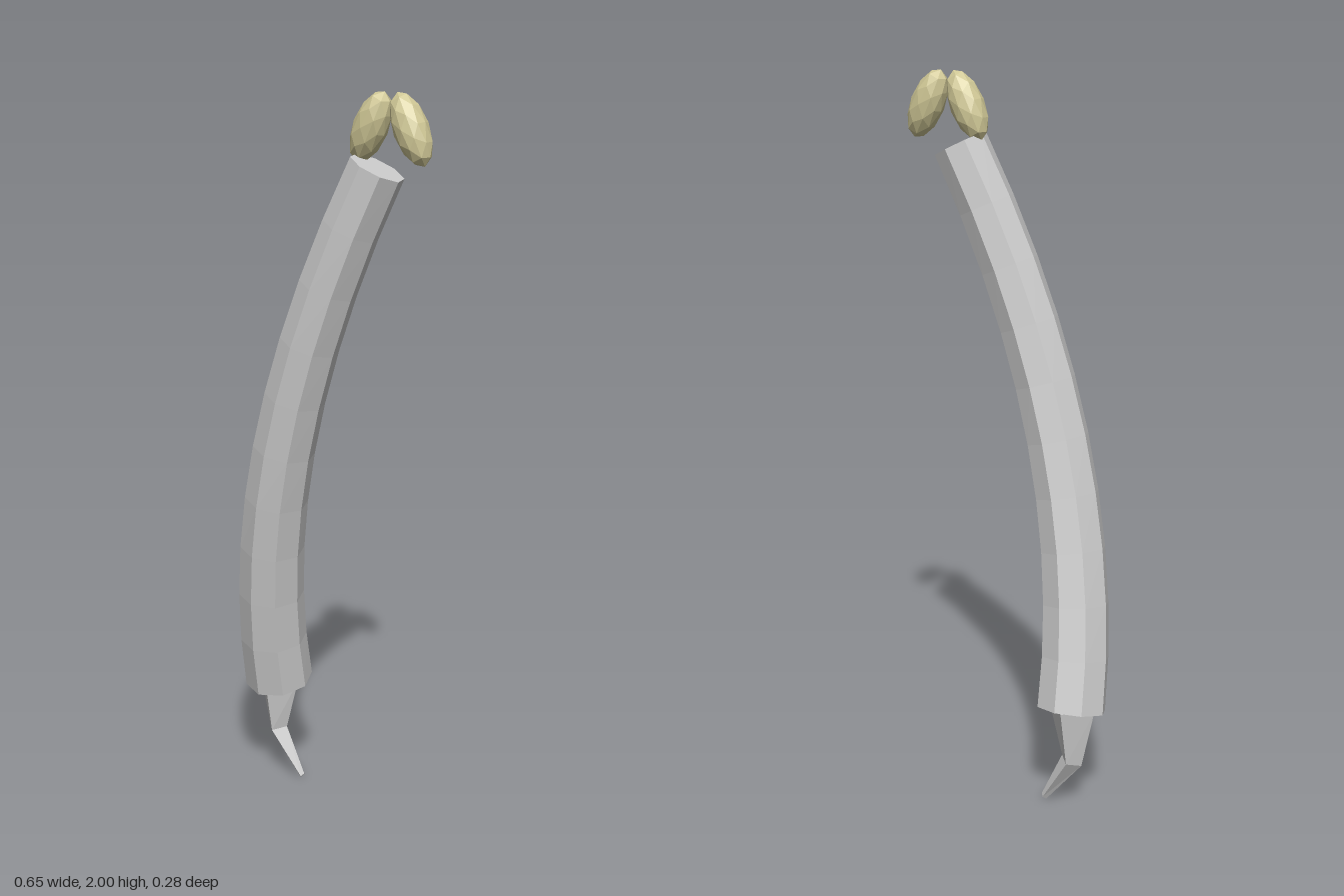
import * as THREE from 'three';

const V3 = (x, y, z) => new THREE.Vector3(x, y, z);

// Closed loft through polygon rings, listed from bottom to top.
// Each ring: centre c, axis direction t, radii rx and rz.
function loft(rings, sides) {
  const pos = [], idx = [];
  for (const { c, t, rx, rz } of rings) {
    const axis = t.clone().normalize();
    const u = V3(1, 0, 0).addScaledVector(axis, -axis.x).normalize();
    const v = u.clone().cross(axis);
    for (let j = 0; j < sides; j++) {
      const a = (j / sides) * Math.PI * 2;
      const p = c.clone().addScaledVector(u, rx * Math.cos(a)).addScaledVector(v, rz * Math.sin(a));
      pos.push(p.x, p.y, p.z);
    }
  }
  const last = (rings.length - 1) * sides;
  for (let j = 0; j < sides; j++) {
    const k = (j + 1) % sides;
    for (let i = 0; i < last; i += sides) {
      const a = i + j, b = i + k, c = a + sides, d = b + sides;
      idx.push(a, c, b, b, c, d);
    }
    // End caps
    if (j > 0 && k > 0) idx.push(0, j, k, last, last + k, last + j);
  }
  const geo = new THREE.BufferGeometry();
  geo.setAttribute('position', new THREE.Float32BufferAttribute(pos, 3));
  geo.setIndex(idx);
  const flat = geo.toNonIndexed();
  flat.computeVertexNormals();
  return flat;
}

export function createModel() {
  const group = new THREE.Group();
  const grey = new THREE.MeshStandardMaterial({ color: 0xcccccc, flatShading: true });
  const tan = new THREE.MeshStandardMaterial({ color: 0xd0c896, flatShading: true });
  const add = (name, geo, mat) => {
    const mesh = new THREE.Mesh(geo, mat);
    mesh.name = name;
    group.add(mesh);
    return mesh;
  };

  // Curved, tapering eight-sided shaft
  const curve = new THREE.QuadraticBezierCurve3(
    V3(-0.228, 0.295, -0.043), V3(-0.215, 1.0, 0.12), V3(0.165, 1.807, 0.024));
  const shaft = [];
  for (let i = 0; i <= 10; i++) {
    const s = i / 10, r = THREE.MathUtils.lerp(0.097, 0.076, s);
    shaft.push({ c: curve.getPoint(s), t: curve.getTangent(s), rx: r, rz: r });
  }
  add('shaft', loft(shaft, 8), grey);

  // Bent four-sided spike below the shaft
  add('spike', loft([
    { c: V3(-0.142, 0.009, -0.042), t: V3(-0.7, 0.7, 0), rx: 0.01, rz: 0.008 },
    { c: V3(-0.23, 0.14, -0.042), t: V3(-0.3, 0.95, 0), rx: 0.032, rz: 0.032 },
    { c: V3(-0.229, 0.3, -0.043), t: V3(0, 1, 0), rx: 0.071, rz: 0.062 },
  ], 4), grey);

  // Pair of faceted pods leaning together at the top
  for (const side of [-1, 1]) {
    const pod = add(side < 0 ? 'rightPod' : 'leftPod', new THREE.IcosahedronGeometry(1, 1), tan);
    pod.scale.set(0.047, 0.1, 0.045);
    pod.rotation.z = side * 0.45;
    pod.position.set(0.2 + side * 0.063, 1.908, 0.016);
  }
  return group;
}
